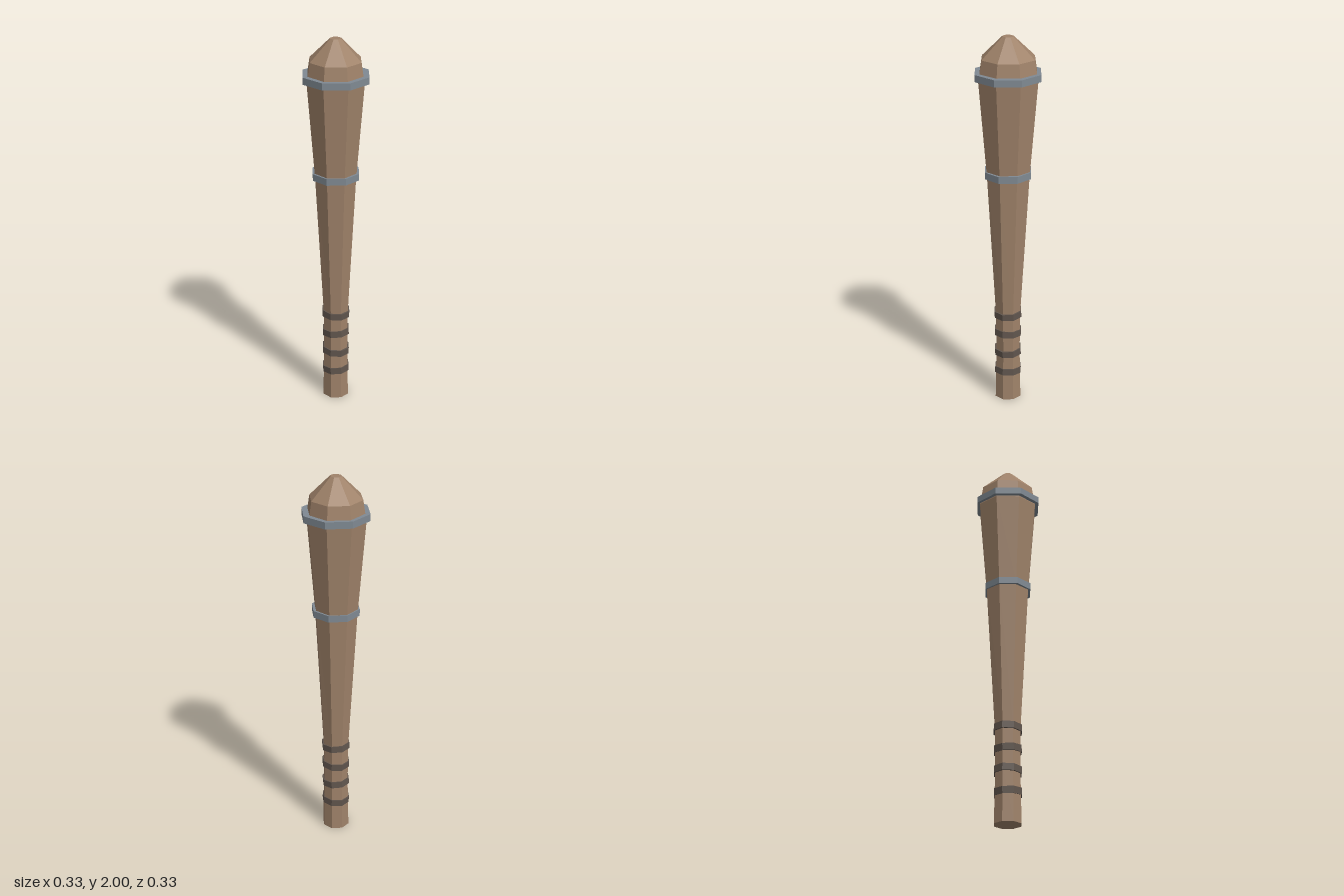
import * as THREE from 'three';

const SIDES = 8;
const COS = Math.cos(Math.PI / SIDES);

export function createModel() {
  const club = new THREE.Group();
  club.name = 'club';
  const wood = new THREE.MeshStandardMaterial({ name: 'wood', color: 0xa0836a, flatShading: true });
  const metal = new THREE.MeshStandardMaterial({ name: 'metal', color: 0x808a93, flatShading: true });
  const leather = new THREE.MeshStandardMaterial({ name: 'leather', color: 0x61564e, flatShading: true });

  const add = (name, geometry, material, y = 0) => {
    const mesh = new THREE.Mesh(geometry, material);
    mesh.name = name;
    mesh.position.y = y;
    club.add(mesh);
    return mesh;
  };

  // Eight-sided prism with flats facing the axes; the radius is measured to the flats
  const prism = (flat, height) =>
    new THREE.CylinderGeometry(flat / COS, flat / COS, height, SIDES).rotateY(Math.PI / SIDES);

  // Hand-carved shaft and head: [flat radius, y], with slightly uneven corners
  const profile = [[0, 0], [0.067, 0], [0.062, 0.28], [0.064, 0.5], [0.106, 1.28],
    [0.145, 1.78], [0.129, 1.89], [0.027, 2], [0, 2]];
  const points = profile.map(([r, y]) => new THREE.Vector2(r / COS, y));
  const body = new THREE.LatheGeometry(points, SIDES, Math.PI / SIDES);
  const p = body.attributes.position;
  for (let i = 0; i < p.count; i++) {
    const x = p.getX(i), z = p.getZ(i), y = p.getY(i);
    const wobble = y > 1 && y < 1.95 ? 1 : 0.3;
    const a = Math.atan2(z, x);
    const k = 1 + 0.018 * wobble * Math.sin(2 * a - 1.2);
    p.setXYZ(i, x * k - 0.002 * wobble, y, z * (k + 0.015 * wobble) - 0.002 * wobble);
  }
  add('woodenBody', body, wood);

  // Metal bands around the head and the upper shaft
  add('upperBand', prism(0.165, 0.036), metal, 1.803);
  add('lowerBand', prism(0.118, 0.036), metal, 1.287);

  // Leather grip wraps, each tilted a little
  [0.163, 0.275, 0.387, 0.497].forEach((y, i) => {
    const wrap = add('gripWrap' + (i + 1), prism(0.069 + (i === 3 ? 0.002 : 0), 0.036), leather, y);
    wrap.rotation.z = (i % 2 ? -1 : 1) * 0.05;
    wrap.rotation.x = (i % 2 ? 1 : -1) * 0.03;
  });
  return club;
}
